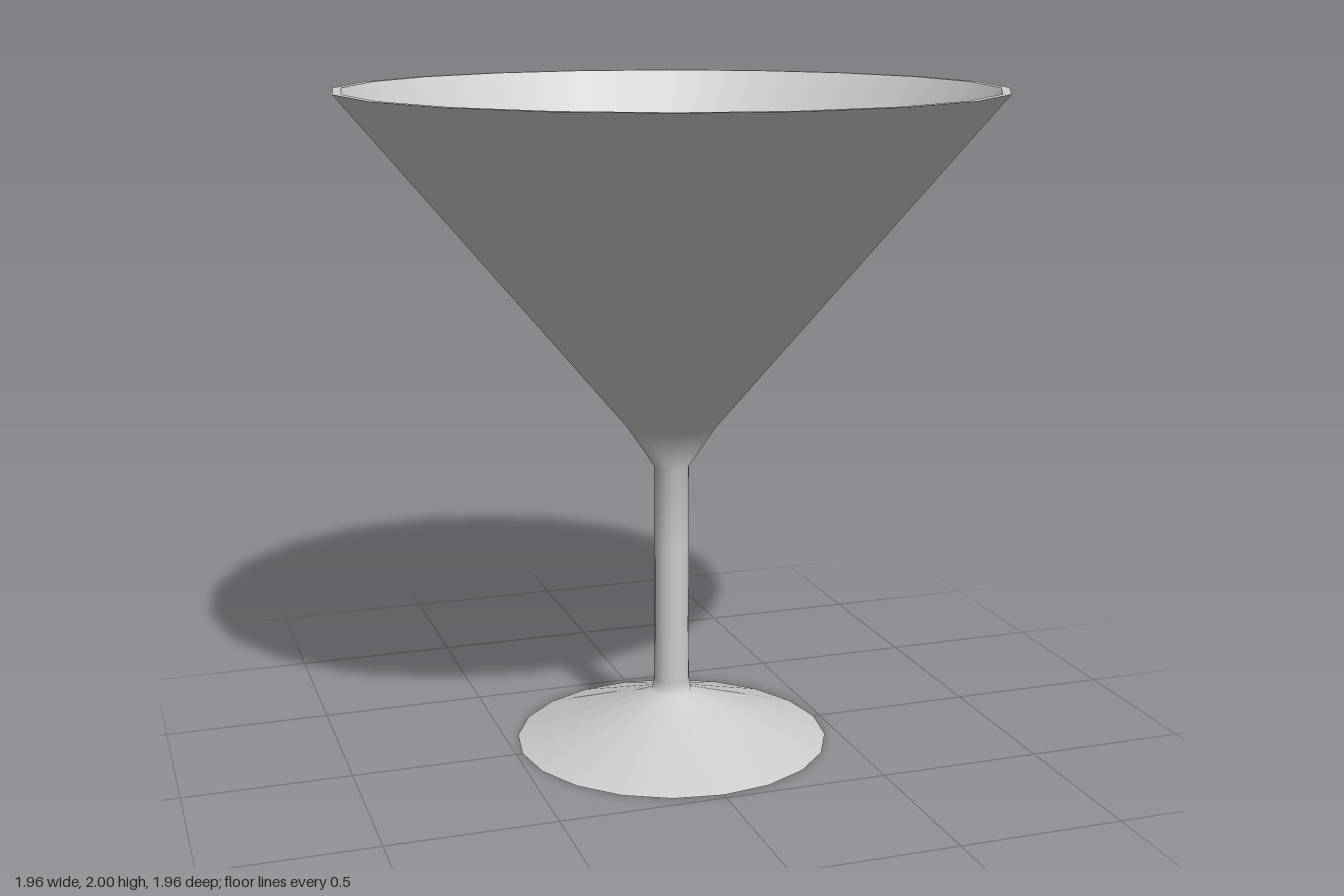
import * as THREE from 'three';

const SIDES = 20;

export function createModel() {
  const glass = new THREE.Group();
  glass.name = 'cocktailGlass';
  const material = new THREE.MeshStandardMaterial({ color: 0xcccccc });

  // Turns a [radius, height] profile; separate profiles keep the edges between them sharp
  const turn = (name, profile) => {
    const points = profile.map(([r, y]) => new THREE.Vector2(r, y));
    const mesh = new THREE.Mesh(new THREE.LatheGeometry(points, SIDES), material);
    mesh.name = name;
    glass.add(mesh);
  };

  // Flat underside of the foot
  turn('footUnderside', [[0, 0], [0.48, 0]]);

  // Sloping foot, slim stem and outer bowl flow smoothly into each other
  turn('footStemAndBowl', [
    [0.48, 0], [0.06, 0.15], [0.055, 0.19], [0.053, 0.35],
    [0.053, 0.62], [0.053, 0.87], [0.14, 1.0], [0.98, 2],
  ]);

  // Thin rim
  turn('rim', [[0.98, 2], [0.955, 2]]);

  // Hollow inside of the bowl with a shallow dished bottom
  turn('bowlInside', [[0.955, 2], [0.125, 1.02], [0.05, 0.97], [0, 0.96]]);

  return glass;
}
